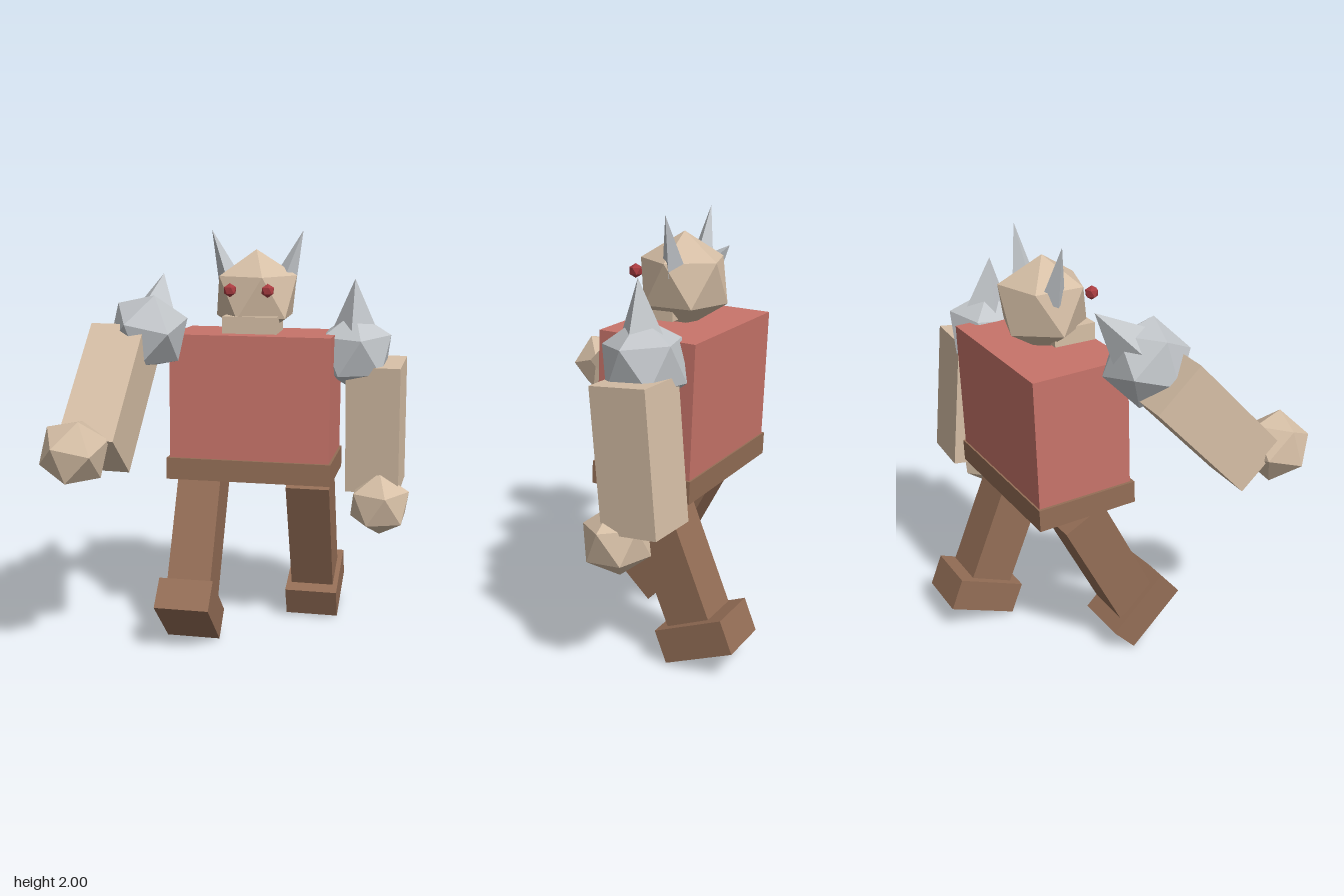
import * as THREE from 'three';

const mat = (name, color) => {
  const m = new THREE.MeshStandardMaterial({ color, flatShading: true });
  m.name = name;
  return m;
};

// Twenty-sided ball standing on a corner, with two staggered rings of five corners
function ballGeometry(r) {
  const ring = (y, turn) => Array.from({ length: 5 }, (_, k) => {
    const a = turn + (k * Math.PI * 2) / 5;
    return [0.8944 * r * Math.cos(a), y * r, 0.8944 * r * Math.sin(a)];
  });
  const up = ring(0.4472, 0), low = ring(-0.4472, Math.PI / 5);
  const top = [0, r, 0], bottom = [0, -r, 0], pos = [];
  for (let k = 0; k < 5; k++) {
    const n = (k + 1) % 5;
    pos.push(...top, ...up[n], ...up[k]);
    pos.push(...up[k], ...up[n], ...low[k]);
    pos.push(...up[n], ...low[n], ...low[k]);
    pos.push(...low[k], ...low[n], ...bottom);
  }
  const g = new THREE.BufferGeometry();
  g.setAttribute('position', new THREE.Float32BufferAttribute(pos, 3));
  g.computeVertexNormals();
  return g;
}

export function createModel() {
  const model = new THREE.Group();
  model.name = 'hornedBrute';
  const skin = mat('skin', 0xd6bfa6);
  const red = mat('redTunic', 0xc8746a);
  const brown = mat('brownLeather', 0x946e56);
  const metal = mat('paleMetal', 0xc2c6ca);
  const eyeRed = mat('eyeRed', 0xa83c40);
  const yaw = 0.058;

  const add = (parent, name, geometry, material, x, y, z) => {
    const m = new THREE.Mesh(geometry, material);
    m.name = name;
    m.position.set(x, y, z);
    parent.add(m);
    return m;
  };
  const box = (parent, name, material, w, h, d, x, y, z) =>
    add(parent, name, new THREE.BoxGeometry(w, h, d), material, x, y, z);
  const ball = (parent, name, material, r, x, y, z) =>
    add(parent, name, ballGeometry(r), material, x, y, z);

  // Torso and belt, turned slightly and leaning back
  const torso = box(model, 'torso', red, 0.775, 0.6, 0.46, 0.005, 1.21, -0.281);
  const belt = box(model, 'belt', brown, 0.8, 0.105, 0.485, 0.005, 0.859, -0.266);
  for (const m of [torso, belt]) m.rotation.set(-0.03, yaw, 0, 'YXZ');

  // Head, jaw, eyes and horns
  const head = new THREE.Group();
  head.name = 'head';
  head.position.set(0.003, 1.69, -0.266);
  head.rotation.y = yaw;
  model.add(head);
  ball(head, 'skull', skin, 0.22, 0, 0, 0);
  box(head, 'jaw', skin, 0.26, 0.08, 0.2, 0, -0.125, 0.09);
  for (const s of [-1, 1]) {
    ball(head, 'eye', eyeRed, 0.033, s * 0.09, 0.04, 0.197);
    const horn = add(head, 'horn', new THREE.ConeGeometry(0.06, 0.27, 4), metal, s * 0.177, 0.183, -0.02);
    horn.rotation.z = -s * 0.35;
  }

  // Arms pivot at the shoulder guard and swing as one piece
  const arm = (side, name, x, y, z, swing) => {
    const g = new THREE.Group();
    g.name = name;
    g.position.set(x, y, z);
    g.rotation.x = swing;
    model.add(g);
    ball(g, 'shoulderGuard', metal, 0.197, 0, 0, 0);
    add(g, 'shoulderSpike', new THREE.ConeGeometry(0.11, 0.25, 4), metal, 0, 0.231, 0);
    box(g, 'arm', skin, 0.262, 0.635, 0.27, side * 0.107, -0.366, -0.013);
    ball(g, 'fist', skin, 0.162, side * 0.146, -0.74, 0.11);
  };
  arm(-1, 'rightArm', -0.46, 1.53, 0, -0.76);
  arm(1, 'leftArm', 0.475, 1.42, -0.355, 0.09);

  // Striding legs: shin and boot each have their own pitch
  const leg = (name, shin, shinPitch, boot, bootPitch) => {
    const g = new THREE.Group();
    g.name = name;
    model.add(g);
    box(g, 'leg', brown, 0.215, 0.62, 0.216, ...shin).rotation.set(shinPitch, yaw, 0, 'YXZ');
    box(g, 'boot', brown, 0.265, 0.158, 0.347, ...boot).rotation.set(bootPitch, yaw, 0, 'YXZ');
  };
  leg('rightLeg', [-0.255, 0.502, -0.111], -0.48, [-0.247, 0.18, 0.072], -0.76);
  leg('leftLeg', [0.27, 0.513, -0.397], 0.39, [0.26, 0.151, -0.552], 0.38);

  return model;
}
